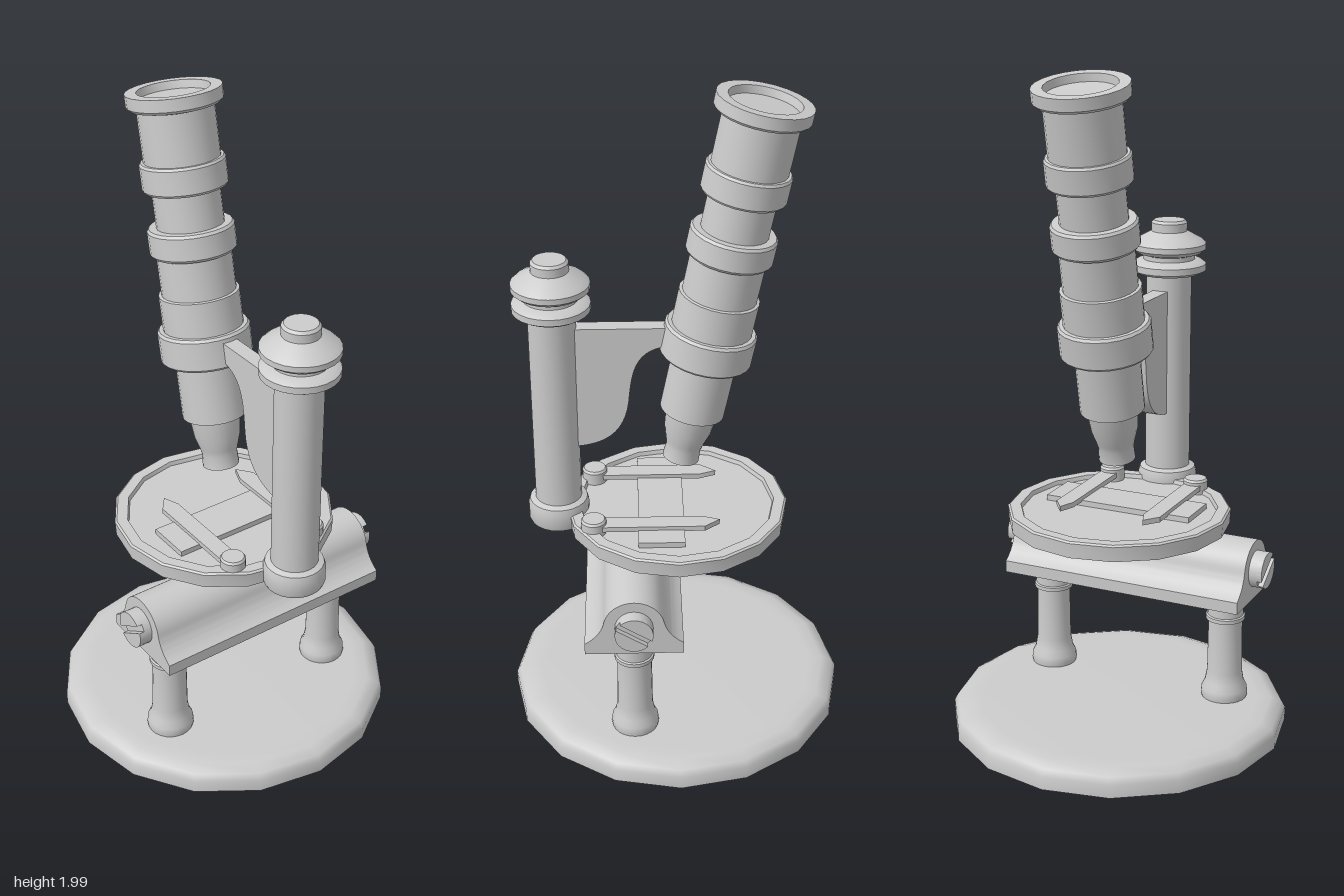
import * as THREE from 'three';
import { toCreasedNormals } from 'three/addons/utils/BufferGeometryUtils.js';

const grey = new THREE.MeshStandardMaterial({ color: 0xcccccc });
const greyThin = new THREE.MeshStandardMaterial({ color: 0xcccccc, side: THREE.DoubleSide });

function add(parent, name, geo, x = 0, y = 0, z = 0, mat = grey) {
  const mesh = new THREE.Mesh(geo, mat);
  mesh.name = name;
  mesh.position.set(x, y, z);
  parent.add(mesh);
  return mesh;
}

// Turned part: [radius, height] pairs from bottom to top
function turned(pairs, sides = 24, crease = 0.6) {
  const pts = pairs.map(([r, h]) => new THREE.Vector2(r, h));
  return toCreasedNormals(new THREE.LatheGeometry(pts, sides), crease);
}

function extrude(shape, depth) {
  const geo = new THREE.ExtrudeGeometry(shape, { depth, bevelEnabled: false, curveSegments: 12 });
  return toCreasedNormals(geo, 0.6);
}

export function createModel() {
  const model = new THREE.Group();
  model.name = 'microscope';
  const cx = 0.135; // centre line of pillars and crossbar

  // Hollow 16-sided foot
  add(model, 'base', turned([
    [0.516, 0], [0.516, 0.04], [0.505, 0.06], [0.47, 0.073], [0.43, 0.075], [0, 0.075],
  ], 16, 0.9), 0, 0, 0, greyThin);

  // Crossbar: round top flaring into a flat bottom
  const bar = new THREE.Shape();
  bar.moveTo(-0.145, 0.415);
  bar.lineTo(0.145, 0.415);
  bar.lineTo(0.145, 0.452);
  bar.quadraticCurveTo(0.1, 0.478, 0.088, 0.525);
  bar.absarc(0, 0.508, 0.09, 0.19, Math.PI - 0.19, false);
  bar.quadraticCurveTo(-0.1, 0.478, -0.145, 0.452);
  add(model, 'crossbar', extrude(bar, 0.78), cx, 0, -0.39);

  // Pillars and slotted screws, mirrored front to back
  const pillar = turned([
    [0, 0.066], [0.068, 0.066], [0.072, 0.085], [0.07, 0.105], [0.06, 0.125], [0.054, 0.16],
    [0.052, 0.33], [0.06, 0.333], [0.06, 0.345], [0.055, 0.348], [0.055, 0.42],
  ]);
  const half = new THREE.Shape();
  half.absarc(0, 0, 0.056, 0.2, Math.PI - 0.2, false);
  const screwHalf = extrude(half, 0.016);
  const screwDisc = new THREE.CylinderGeometry(0.056, 0.056, 0.03, 24).rotateX(Math.PI / 2);
  for (const side of [1, -1]) {
    add(model, 'pillar', pillar, cx, 0, side * 0.297);
    const screw = new THREE.Group();
    screw.name = 'screw';
    add(screw, 'screwDisc', screwDisc, 0, 0, 0.4);
    for (const turn of [0, Math.PI]) {
      add(screw, 'screwHalf', screwHalf, 0, 0, 0.415).rotation.z = 0.57 + turn;
    }
    screw.position.set(cx, 0.51, 0);
    screw.scale.z = side;
    model.add(screw);
  }

  // Stage with a shallow recess, on a short stem
  add(model, 'stageStem', new THREE.CylinderGeometry(0.055, 0.055, 0.09, 24), cx, 0.61, 0);
  add(model, 'stage', turned([
    [0, 0.645], [0.333, 0.645], [0.336, 0.69], [0.33, 0.695], [0.297, 0.695], [0.293, 0.682], [0, 0.682],
  ], 16));
  add(model, 'slide', new THREE.BoxGeometry(0.137, 0.018, 0.47), 0.049, 0.69, 0);

  // Pointed stage clips held by knobs
  const clip = new THREE.Shape();
  [[-0.125, 0.008], [-0.08, -0.027], [0.25, -0.027], [0.25, 0.027], [-0.075, 0.027]]
    .forEach(([x, y], i) => (i ? clip.lineTo(x, y) : clip.moveTo(x, y)));
  const clipGeo = extrude(clip, 0.016).rotateX(-Math.PI / 2);
  const knobGeo = turned([[0, 0.675], [0.038, 0.675], [0.038, 0.72], [0.033, 0.727], [0, 0.727]], 20);
  for (const side of [1, -1]) {
    add(model, 'clip', clipGeo, 0, 0.695, side * 0.143).scale.z = side;
    add(model, 'clipKnob', knobGeo, 0.25, 0, side * 0.143);
  }

  // Upright post with foot, two discs and top knob
  add(model, 'post', turned([
    [0, 0.645], [0.088, 0.645], [0.092, 0.655], [0.092, 0.7], [0.087, 0.717], [0.07, 0.724],
    [0.07, 1.34], [0.1, 1.343], [0.114, 1.352], [0.114, 1.372], [0.1, 1.382], [0.08, 1.386],
    [0.08, 1.4], [0.1, 1.406], [0.114, 1.418], [0.114, 1.435], [0.1, 1.448], [0.055, 1.472],
    [0.055, 1.498], [0.048, 1.506], [0, 1.506],
  ]), 0.357);

  // Bracket between post and tube
  const arm = new THREE.Shape();
  arm.moveTo(0.31, 0.905);
  arm.lineTo(0.31, 1.295);
  arm.lineTo(-0.05, 1.295);
  arm.lineTo(-0.05, 1.235);
  arm.lineTo(0.04, 1.235);
  arm.bezierCurveTo(0.12, 1.22, 0.13, 1.15, 0.138, 1.08);
  arm.bezierCurveTo(0.145, 0.97, 0.19, 0.91, 0.31, 0.905);
  add(model, 'arm', extrude(arm, 0.048), 0, 0, -0.024);

  // Tilted tube: objective, stepped barrel and eyepiece
  add(model, 'tube', turned([
    [0, 0], [0.055, 0], [0.053, 0.04], [0.058, 0.06], [0.07, 0.1], [0.077, 0.165],
    [0.096, 0.166], [0.096, 0.347], [0.13, 0.347], [0.136, 0.354], [0.136, 0.438], [0.13, 0.446],
    [0.118, 0.446], [0.118, 0.55], [0.109, 0.552], [0.109, 0.672], [0.12, 0.672], [0.126, 0.68],
    [0.126, 0.744], [0.12, 0.752], [0.098, 0.752], [0.098, 0.86], [0.118, 0.86], [0.123, 0.867],
    [0.123, 0.936], [0.118, 0.943], [0.11, 0.943], [0.11, 1.09], [0.13, 1.095], [0.137, 1.103],
    [0.137, 1.138], [0.104, 1.138], [0.1, 1.115], [0, 1.115],
  ]), -0.013, 0.851, 0).rotation.z = 0.2;

  return model;
}
